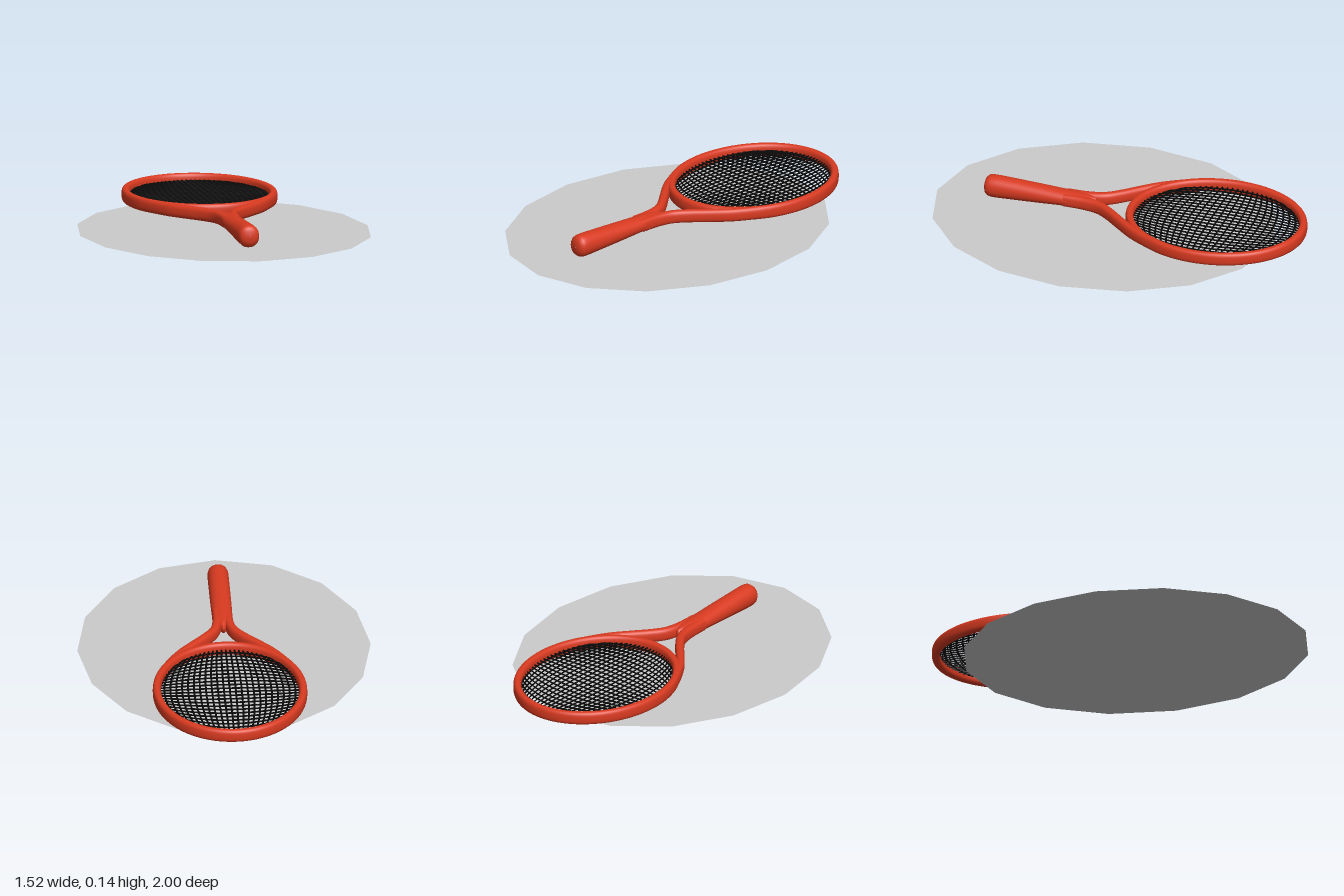
import * as THREE from 'three';
import { mergeGeometries } from 'three/addons/utils/BufferGeometryUtils.js';

const MID_Y = 0.08;     // height of the racket's middle plane
const HEAD_Z = -0.522;  // centre of the oval head

// Sweeps a rounded cross-section along a path lying in the xz plane.
// size(t) gives [half width, half height]; power 2 is an ellipse, higher is boxier.
function sweep(path, size, { closed = false, power = 2, sides = 24 } = {}) {
  const n = path.length, pos = [], index = [];
  const bend = v => Math.sign(v) * Math.pow(Math.abs(v), 2 / power);
  path.forEach((p, i) => {
    const a = path[closed ? (i + n - 1) % n : Math.max(i - 1, 0)];
    const b = path[closed ? (i + 1) % n : Math.min(i + 1, n - 1)];
    const t = b.clone().sub(a).normalize();
    const [w, h] = size(i / (n - 1), i);
    for (let j = 0; j < sides; j++) {
      const ang = (j / sides) * Math.PI * 2;
      const c = bend(Math.cos(ang)) * w, s = bend(Math.sin(ang)) * h;
      pos.push(p.x + t.z * c, p.y + s, p.z - t.x * c);
    }
  });
  for (let i = 0; i < (closed ? n : n - 1); i++) {
    for (let j = 0; j < sides; j++) {
      const k = (j + 1) % sides, m = ((i + 1) % n) * sides;
      const a = i * sides + j, b = i * sides + k;
      index.push(a, b, m + j, b, m + k, m + j);
    }
  }
  const g = new THREE.BufferGeometry();
  g.setAttribute('position', new THREE.Float32BufferAttribute(pos, 3));
  g.setIndex(index);
  g.computeVertexNormals();
  return g;
}

export function createModel() {
  const group = new THREE.Group();
  const red = new THREE.MeshStandardMaterial({ color: 0xd83a20 });
  const black = new THREE.MeshStandardMaterial({ color: 0x0a0a0a });
  const grey = new THREE.MeshStandardMaterial({ color: 0xcccccc, side: THREE.DoubleSide });
  const add = (name, geometry, material) => {
    const mesh = new THREE.Mesh(geometry, material);
    mesh.name = name;
    group.add(mesh);
    return mesh;
  };

  // Oval head frame
  const oval = [];
  for (let i = 0; i < 96; i++) {
    const a = (i / 96) * Math.PI * 2;
    oval.push(new THREE.Vector3(0.379 * Math.cos(a), MID_Y, HEAD_Z + 0.457 * Math.sin(a)));
  }
  add('headFrame', sweep(oval, () => [0.021, 0.035], { closed: true, power: 2.8 }), red);

  // Throat arms, leaving the head and merging into the handle
  const armPoints = [[0.341, -0.32], [0.306, -0.25], [0.241, -0.14], [0.167, -0.05],
    [0.098, 0.03], [0.051, 0.1], [0.031, 0.18], [0.026, 0.3]];
  for (const [name, s] of [['leftThroatArm', 1], ['rightThroatArm', -1]]) {
    const curve = new THREE.CatmullRomCurve3(
      armPoints.map(([x, z]) => new THREE.Vector3(s * x, MID_Y, z)));
    add(name, sweep(curve.getPoints(48), t => [0.021 + 0.005 * t, 0.0345], { power: 2.6 }), red);
  }

  // Handle: z, half width, half height
  const rings = [[0.13, 0.001, 0.001], [0.135, 0.01, 0.025], [0.17, 0.035, 0.033], [0.23, 0.052, 0.037],
    [0.32, 0.054, 0.041], [0.45, 0.055, 0.049], [0.58, 0.055, 0.056], [0.66, 0.055, 0.06],
    [0.695, 0.055, 0.06], [0.715, 0.052, 0.056], [0.728, 0.043, 0.045], [0.734, 0.028, 0.028],
    [0.736, 0.0005, 0.0005]];
  add('handle', sweep(rings.map(r => new THREE.Vector3(0, MID_Y, r[0])),
    (t, i) => [rings[i][1], rings[i][2]], { power: 2.1, sides: 32 }), red);

  // Strings: a square grid stretched to fill the oval
  const N = 24, strings = [];
  const onOval = (u, v) => new THREE.Vector3(
    0.37 * u * Math.sqrt(1 - v * v / 2), MID_Y, HEAD_Z + 0.447 * v * Math.sqrt(1 - u * u / 2));
  for (let i = 1; i < N; i++) {
    const fixed = -1 + (2 * i) / N;
    for (const lengthwise of [true, false]) {
      const pts = [];
      for (let j = 0; j <= 12; j++) {
        const run = -1 + j / 6;
        pts.push(lengthwise ? onOval(fixed, run) : onOval(run, fixed));
      }
      strings.push(new THREE.TubeGeometry(new THREE.CatmullRomCurve3(pts), 24, 0.005, 4));
    }
  }
  add('strings', mergeGeometries(strings), black);

  // Flat sixteen-sided base sheet
  const base = add('baseSheet', new THREE.CircleGeometry(1, 16), grey);
  base.rotation.x = -Math.PI / 2;
  base.scale.set(0.76, 0.912, 1);
  base.position.z = 0.086;

  return group;
}
